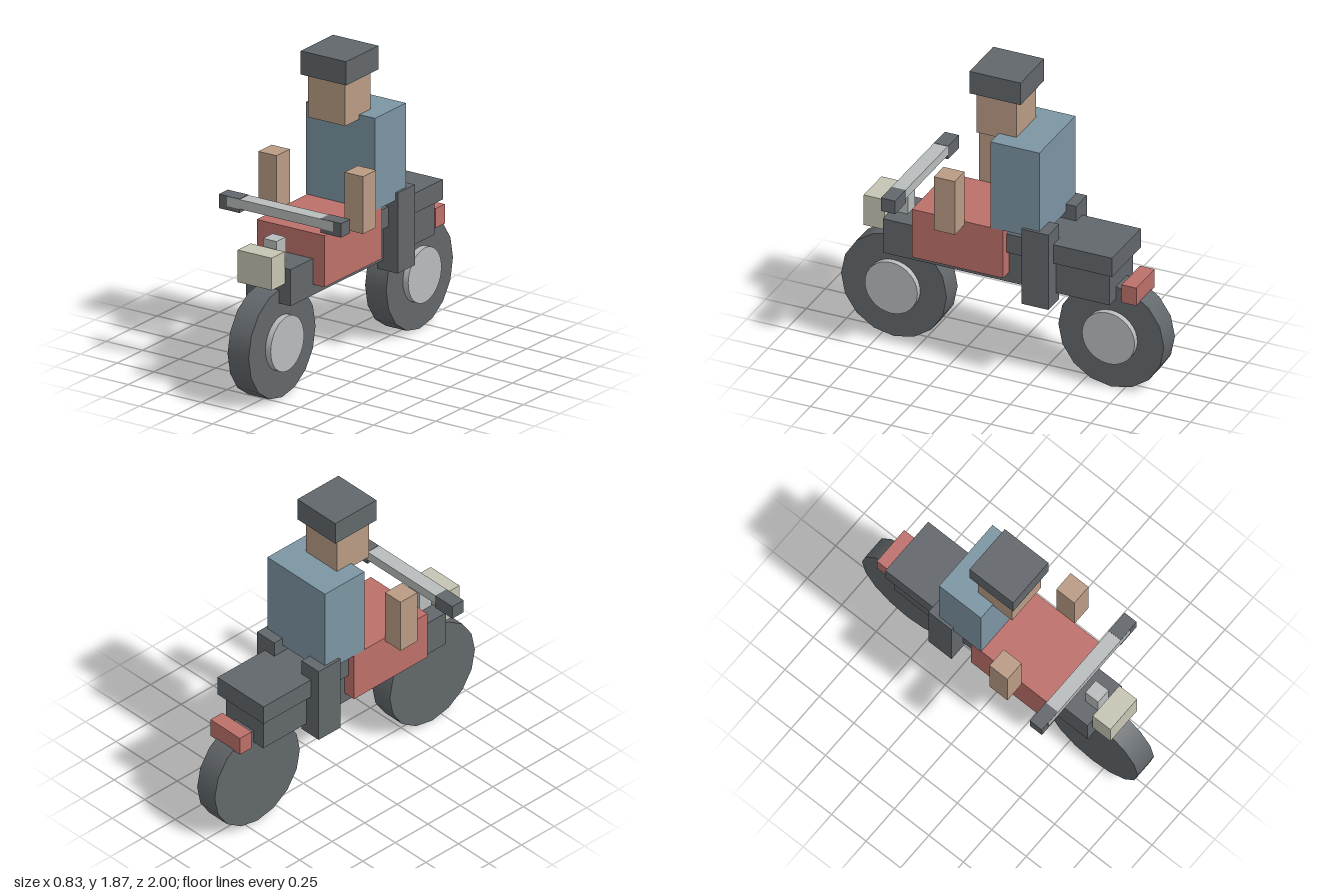
import * as THREE from 'three';

const material = (name, color) => {
  const m = new THREE.MeshStandardMaterial({ color });
  m.name = name;
  return m;
};

export function createModel() {
  const model = new THREE.Group();
  model.name = 'motorcycleAndRider';

  const dark = material('darkGrey', 0x62676b);
  const silver = material('silver', 0xb8bcbc);
  const red = material('red', 0xbd706a);
  const blue = material('blue', 0x7c95a3);
  const skin = material('skin', 0xb99b84);
  const cream = material('cream', 0xc6c5b4);

  // Box given by its low and high limits on each axis
  const box = (name, mat, [x0, x1], [y0, y1], [z0, z1]) => {
    const mesh = new THREE.Mesh(new THREE.BoxGeometry(x1 - x0, y1 - y0, z1 - z0), mat);
    mesh.position.set((x0 + x1) / 2, (y0 + y1) / 2, (z0 + z1) / 2);
    mesh.name = name;
    model.add(mesh);
  };
  const centred = (name, mat, halfWidth, y, z) => box(name, mat, [-halfWidth, halfWidth], y, z);
  const pair = (name, mat, [x0, x1], y, z) => {
    box(name + 'Left', mat, [x0, x1], y, z);
    box(name + 'Right', mat, [-x1, -x0], y, z);
  };

  // Disc with its axle along x
  const disc = (name, mat, radius, x0, x1, z, sides) => {
    const geo = new THREE.CylinderGeometry(radius, radius, x1 - x0, sides);
    geo.rotateZ(-Math.PI / 2);
    const mesh = new THREE.Mesh(geo, mat);
    mesh.position.set((x0 + x1) / 2, 0.33, z);
    mesh.name = name;
    model.add(mesh);
  };

  // Wheels, with a hub plate on the left side only
  for (const [end, z] of [['front', 0.673], ['rear', -0.673]]) {
    disc(end + 'Wheel', dark, 0.327, -0.072, 0.072, z, 16);
    disc(end + 'Hub', silver, 0.163, 0.06, 0.108, z, 32);
  }

  // Body
  centred('frame', dark, 0.152, [0.572, 0.79], [-0.702, 0.703]);
  centred('tank', red, 0.231, [0.636, 0.943], [-0.079, 0.486]);
  centred('seat', dark, 0.188, [0.78, 0.9], [-0.734, -0.07]);
  centred('tailLight', red, 0.12, [0.588, 0.702], [-0.852, -0.761]);
  centred('headlight', cream, 0.117, [0.7, 0.892], [0.711, 0.839]);
  centred('instrument', silver, 0.046, [0.78, 0.932], [0.599, 0.692]);

  // Handlebar and grips
  centred('handlebar', silver, 0.362, [1.027, 1.084], [0.504, 0.591]);
  pair('grip', dark, [0.277, 0.417], [1.002, 1.086], [0.502, 0.589]);

  // Rider
  centred('torso', blue, 0.235, [0.945, 1.496], [-0.306, -0.003]);
  centred('head', skin, 0.127, [1.469, 1.73], [-0.113, 0.135]);
  centred('helmet', dark, 0.155, [1.727, 1.868], [-0.151, 0.165]);
  pair('arm', skin, [0.232, 0.357], [0.921, 1.263], [0.16, 0.29]);
  pair('leg', dark, [0.111, 0.252], [0.513, 0.993], [-0.37, -0.202]);

  return model;
}
